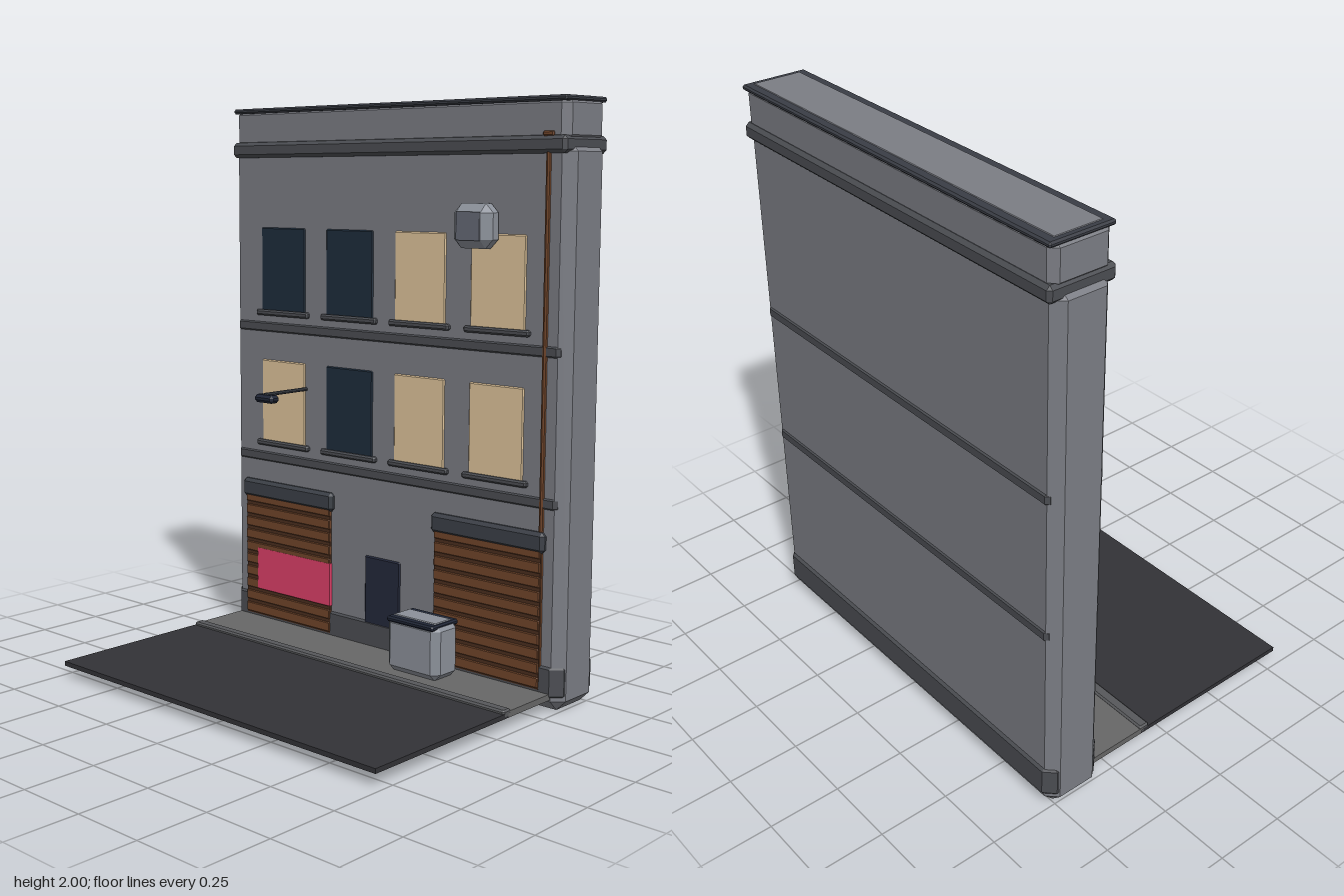
import * as THREE from 'three';
import { ConvexGeometry } from 'three/addons/geometries/ConvexGeometry.js';

const paint = (color) => new THREE.MeshStandardMaterial({ color, flatShading: true });
const M = {
  wall: paint(0x7b7d84), trim: paint(0x4b4d52), cap: paint(0x3a3d45), header: paint(0x3c4047),
  road: paint(0x323236), pavement: paint(0x676767), kerb: paint(0x57585b),
  lit: paint(0xdec39a), dark: paint(0x1e2d3c), door: paint(0x23283a),
  slat: paint(0x70452a), gap: paint(0x4a2e1e), pink: paint(0xdc4068),
  pipe: paint(0x70452a), metal: paint(0x8b9099), grille: paint(0x666a76), lamp: paint(0x1f2535),
};

// Box between two limits on each axis, with all edges chamfered by c
function block(parent, name, mat, [x0, x1], [y0, y1], [z0, z1], c = 0) {
  const size = [x1 - x0, y1 - y0, z1 - z0];
  let geo;
  if (c > 0) {
    const h = size.map((s) => s / 2);
    const b = Math.min(c, Math.min(...h) * 0.9);
    const pts = [];
    for (const sx of [-1, 1]) for (const sy of [-1, 1]) for (const sz of [-1, 1]) {
      for (let axis = 0; axis < 3; axis++) {
        const d = h.map((v, i) => (i === axis ? v : v - b));
        pts.push(new THREE.Vector3(sx * d[0], sy * d[1], sz * d[2]));
      }
    }
    geo = new ConvexGeometry(pts);
  } else geo = new THREE.BoxGeometry(...size);
  const mesh = new THREE.Mesh(geo, mat);
  mesh.name = name;
  mesh.position.set((x0 + x1) / 2, (y0 + y1) / 2, (z0 + z1) / 2);
  parent.add(mesh);
  return mesh;
}

function group(parent, name) {
  const g = new THREE.Group();
  g.name = name;
  parent.add(g);
  return g;
}

// Roller shutter with slats and a header box
function shutter(parent, name, x0, x1) {
  const g = group(parent, name);
  block(g, 'shutterBacking', M.gap, [x0, x1], [0.07, 0.54], [-0.33, -0.309]);
  const pitch = 0.0485;
  for (let i = 0; i < 10; i++) {
    const y = 0.075 + i * pitch;
    block(g, 'shutterSlat', M.slat, [x0, x1], [y, y + 0.036], [-0.32, -0.304], 0.003);
  }
  block(g, 'shutterHeader', M.header, [x0 - 0.015, x1 + 0.015], [0.53, 0.6], [-0.335, -0.298], 0.012);
}

export function createModel() {
  const model = new THREE.Group();
  model.name = 'streetBuilding';

  // Walls, base course, floor bands and parapet
  const shell = group(model, 'buildingShell');
  block(shell, 'walls', M.wall, [-0.765, 0.765], [0, 1.86], [-0.527, -0.318], 0.036);
  block(shell, 'baseCourse', M.trim, [-0.762, 0.762], [0.02, 0.18], [-0.536, -0.311], 0.035);
  for (const y of [0.67, 1.165]) {
    block(shell, 'floorBand', M.trim, [-0.737, 0.737], [y, y + 0.05], [-0.532, -0.313], 0.012);
  }
  block(shell, 'cornice', M.trim, [-0.752, 0.752], [1.818, 1.874], [-0.545, -0.303], 0.012);
  block(shell, 'parapet', M.wall, [-0.75, 0.75], [1.85, 2], [-0.532, -0.316], 0.025);
  block(shell, 'parapetCap', M.cap, [-0.748, 0.748], [1.98, 1.998], [-0.541, -0.309], 0.006);

  // Street in front
  const street = group(model, 'street');
  block(street, 'road', M.road, [-0.727, 0.727], [0.042, 0.058], [-0.1, 0.55]);
  block(street, 'pavement', M.pavement, [-0.727, 0.727], [0.042, 0.063], [-0.34, -0.09]);
  block(street, 'kerb', M.kerb, [-0.727, 0.727], [0.042, 0.07], [-0.105, -0.065], 0.006);

  // Two rows of windows, some lit
  const windows = group(model, 'windows');
  const rows = [{ y: 0.755, lit: [1, 0, 1, 1] }, { y: 1.25, lit: [0, 0, 1, 1] }];
  for (const { y, lit } of rows) {
    [-0.495, -0.165, 0.16, 0.49].forEach((x, i) => {
      block(windows, 'windowPane', lit[i] ? M.lit : M.dark,
        [x - 0.116, x + 0.116], [y - 0.005, y + 0.315], [-0.335, -0.314], 0.008);
      block(windows, 'windowSill', M.trim, [x - 0.133, x + 0.133], [y - 0.017, y + 0.005], [-0.33, -0.302], 0.006);
    });
  }

  // Ground floor: shutters, painted panel and door
  shutter(model, 'rightShutter', -0.688, -0.252);
  shutter(model, 'leftShutter', 0.241, 0.685);
  block(model, 'paintedPanel', M.pink, [-0.625, -0.247], [0.175, 0.335], [-0.315, -0.303]);
  block(model, 'door', M.door, [-0.086, 0.082], [0.07, 0.395], [-0.335, -0.313], 0.006);

  // Drainpipe with its head
  const drain = group(model, 'drain');
  const pipe = new THREE.Mesh(new THREE.CylinderGeometry(0.01, 0.01, 1.8, 8), M.pipe);
  pipe.name = 'drainPipe';
  pipe.position.set(0.68, 0.97, -0.32);
  drain.add(pipe);
  block(drain, 'drainHead', M.pipe, [0.66, 0.702], [1.872, 1.888], [-0.335, -0.308], 0.004);

  // Wall mounted cooling unit
  const cooler = group(model, 'coolingUnit');
  block(cooler, 'coolerCase', M.metal, [0.338, 0.497], [1.513, 1.66], [-0.335, -0.246], 0.03);
  block(cooler, 'coolerGrille', M.grille, [0.37, 0.465], [1.54, 1.633], [-0.26, -0.244]);

  // Street lamp on an arm
  const lamp = group(model, 'wallLamp');
  const arm = new THREE.Mesh(new THREE.CylinderGeometry(0.007, 0.007, 0.225, 8), M.header);
  arm.name = 'lampArm';
  arm.rotation.x = Math.PI / 2;
  arm.position.set(-0.38, 0.972, -0.2175);
  lamp.add(arm);
  block(lamp, 'lampHead', M.lamp, [-0.426, -0.334], [0.943, 0.972], [-0.136, -0.09], 0.01);

  // Waste bin
  const bin = group(model, 'wasteBin');
  block(bin, 'binBody', M.metal, [0.16, 0.388], [0.06, 0.26], [-0.272, -0.142], 0.025);
  block(bin, 'binLid', M.lamp, [0.172, 0.376], [0.238, 0.257], [-0.278, -0.136], 0.006);

  return model;
}
